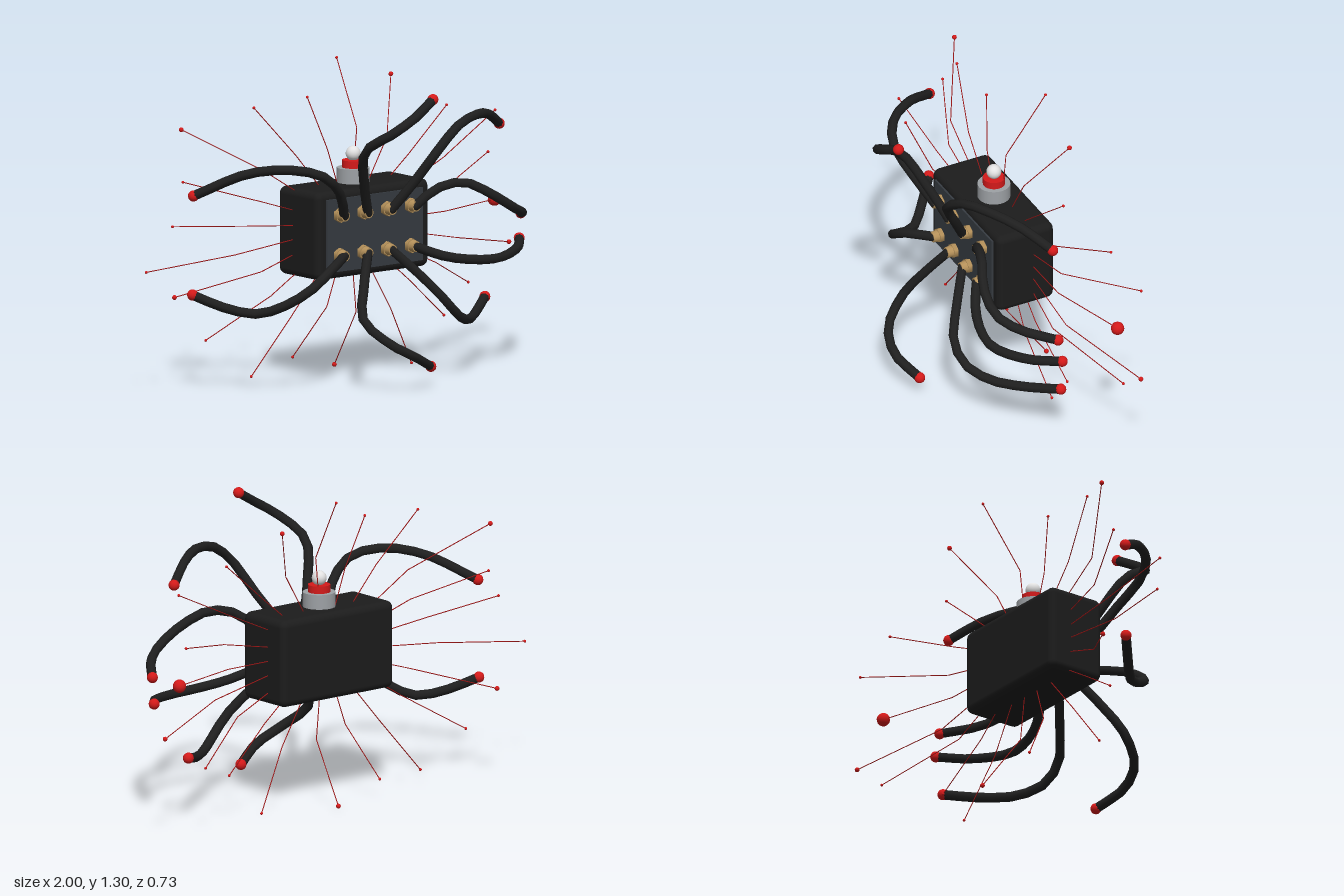
import * as THREE from 'three';
import { RoundedBoxGeometry } from 'three/addons/geometries/RoundedBoxGeometry.js';

const mat = (name, color) => {
  const m = new THREE.MeshStandardMaterial({ color });
  m.name = name;
  return m;
};

export function createModel() {
  const model = new THREE.Group();
  model.name = 'tentacleBox';

  const black = mat('black casing', 0x1c1c1c);
  const rubber = mat('black rubber', 0x1f1f1f);
  const slate = mat('slate panel', 0x363b41);
  const brass = mat('brass', 0xb5915a);
  const red = mat('red', 0xd41a1a);
  const wire = mat('dark red wire', 0xa01616);
  const grey = mat('grey metal', 0x9da1a5);
  const pale = mat('pale bulb', 0xe2e2e2);

  const add = (name, geometry, material, x = 0, y = 0, z = 0, parent = model) => {
    const mesh = new THREE.Mesh(geometry, material);
    mesh.name = name;
    mesh.position.set(x, y, z);
    parent.add(mesh);
  };

  // Casing and front panel
  const cx = 0.013, cy = 0.636;
  add('casing', new RoundedBoxGeometry(0.6, 0.367, 0.264, 3, 0.03), black, cx, cy, -0.132);
  add('frontPanel', new THREE.BoxGeometry(0.51, 0.305, 0.012), slate, cx, cy, 0.002);

  // Beacon on the lid
  const bz = -0.135;
  add('beaconBase', new THREE.CylinderGeometry(0.068, 0.068, 0.064, 24), grey, cx, 0.849, bz);
  add('beaconCollar', new THREE.CylinderGeometry(0.046, 0.046, 0.032, 24), red, cx, 0.896, bz);
  add('beaconBulb', new THREE.SphereGeometry(0.031, 20, 14), pale, cx, 0.939, bz);

  // Tentacle paths beyond their sockets, from -x to +x
  const upperPaths = [
    [[-0.25, 0.83, 0.10], [-0.37, 0.92, 0.13], [-0.49, 0.95, 0.07], [-0.61, 0.93, -0.06],
      [-0.755, 0.831, -0.235]],
    [[-0.12, 0.85, 0.10], [-0.187, 1.01, 0.19], [-0.152, 1.095, 0.32], [-0.06, 1.155, 0.35],
      [0.056, 1.22, 0.33]],
    [[0.14, 0.84, 0.11], [0.21, 0.98, 0.185], [0.32, 1.06, 0.17], [0.456, 1.085, 0.12],
      [0.59, 1.063, 0.04], [0.715, 0.999, -0.043]],
    [[0.28, 0.79, 0.08], [0.395, 0.81, 0.12], [0.51, 0.75, 0.17], [0.62, 0.685, 0.17],
      [0.71, 0.65, 0.11], [0.81, 0.618, -0.018]],
  ];
  const lowerPaths = [
    [[-0.30, 0.52, 0.11], [-0.41, 0.45, 0.115], [-0.49, 0.385, 0.05], [-0.56, 0.34, -0.06],
      [-0.66, 0.365, -0.15], [-0.76, 0.418, -0.235]],
    [[-0.13, 0.43, 0.11], [-0.19, 0.305, 0.18], [-0.13, 0.212, 0.28], [-0.02, 0.15, 0.308],
      [0.105, 0.091, 0.257]],
    [[0.17, 0.44, 0.12], [0.25, 0.34, 0.175], [0.33, 0.265, 0.165], [0.435, 0.23, 0.10],
      [0.56, 0.24, 0], [0.683, 0.272, -0.097]],
    [[0.30, 0.51, 0.10], [0.42, 0.487, 0.14], [0.55, 0.48, 0.15], [0.72, 0.495, 0.07],
      [0.815, 0.51, -0.035]],
  ];
  const nut = new THREE.CylinderGeometry(0.031, 0.031, 0.022, 6).rotateX(Math.PI / 2);
  const collar = new THREE.CylinderGeometry(0.022, 0.026, 0.03, 12).rotateX(Math.PI / 2);
  const root = new THREE.SphereGeometry(0.02, 10, 8);
  const tip = new THREE.SphereGeometry(0.023, 14, 10);
  const addTentacle = (path, column, y) => {
    const group = new THREE.Group();
    group.name = 'tentacle';
    model.add(group);
    const x = -0.18 + 0.126 * column;
    const points = [[x, y, 0.042], ...path].map((p) => new THREE.Vector3(...p));
    const curve = new THREE.CatmullRomCurve3(points);
    add('socketNut', nut, brass, x, y, 0.016, group);
    add('socketCollar', collar, brass, x, y, 0.037, group);
    add('tentacleRoot', root, rubber, x, y, 0.042, group);
    add('tentacleArm', new THREE.TubeGeometry(curve, 12, 0.02, 8), rubber, 0, 0, 0, group);
    add('tentacleTip', tip, red, ...path.at(-1), group);
  };
  upperPaths.forEach((path, i) => addTentacle(path, i, 0.721));
  lowerPaths.forEach((path, i) => addTentacle(path, i, 0.553));

  // Whiskers fan out in an ellipse, in three lengths, each kinked backwards by its own amount
  const count = 21, rootZ = -0.162;
  for (let i = 0; i < count; i++) {
    const angle = (i / count) * Math.PI * 2;
    const reach = 0.857 + 0.081 * (i % 3);
    const sweep = -0.101 - 0.09 * Math.sin(1.7 * i);
    const along = (t, bend) => new THREE.Vector3(
      cx + Math.cos(angle) * reach * t,
      cy + Math.sin(angle) * reach * 0.657 * t,
      rootZ + sweep * bend);
    const kink = along(0.6, 0.03), end = along(1, 1);
    const strand = (a, b) => new THREE.TubeGeometry(new THREE.LineCurve3(a, b), 1, 0.002, 6);
    add('whiskerBase', strand(along(0.2, 0), kink), wire);
    add('whiskerEnd', strand(kink, end), wire);
    // One large bead, a slightly bigger one every fourth whisker
    const bead = i === 0 ? 0.028 : i % 4 === 0 ? 0.01 : 0.006;
    add('whiskerBead', new THREE.SphereGeometry(bead, 12, 8), red, end.x, end.y, end.z);
  }

  return model;
}
